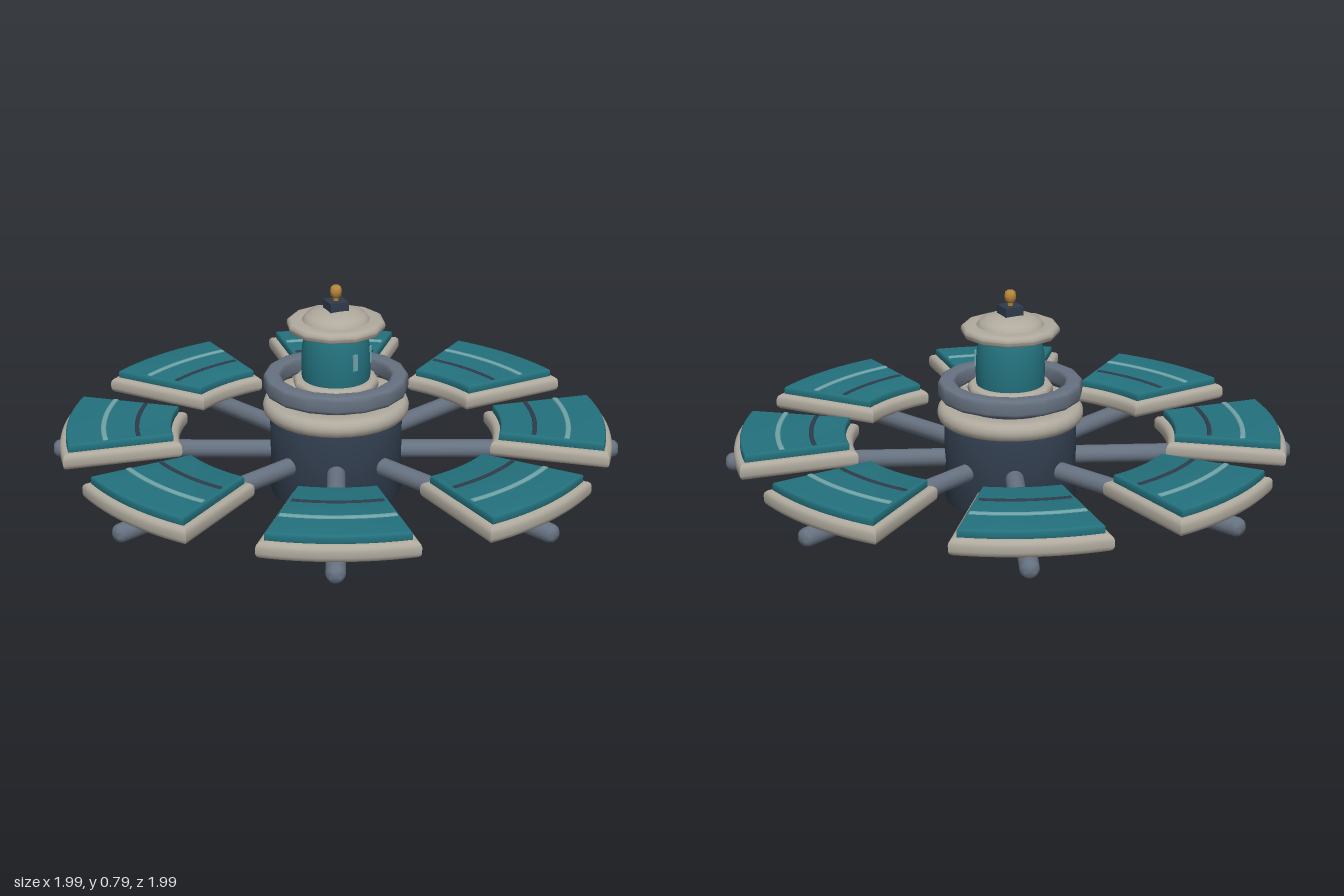
import * as THREE from 'three';
import { toCreasedNormals } from 'three/addons/utils/BufferGeometryUtils.js';

const paint = (color) => new THREE.MeshStandardMaterial({ color });
const TEAL = paint(0x23717d), STONE = paint(0xb0aa9e), SLATE = paint(0x667180);
const DARK = paint(0x2f3b4b), GOLD = paint(0xb8863b), GLASS = paint(0x6fa3a8);

function add(parent, name, geometry, material, x = 0, y = 0, z = 0) {
  const mesh = new THREE.Mesh(geometry, material);
  mesh.name = name;
  mesh.position.set(x, y, z);
  parent.add(mesh);
  return mesh;
}

// Solid of revolution from [radius, height] pairs, listed bottom to top
function turned(points, sides = 40, crease = 0.6) {
  const profile = points.map(([r, y]) => new THREE.Vector2(r, y));
  return toCreasedNormals(new THREE.LatheGeometry(profile, sides), crease);
}

// Ring with a rounded rectangular section
function ring(inner, outer, y0, y1, round, sides) {
  const points = [];
  const corners = [[outer - round, y0 + round, -90], [outer - round, y1 - round, 0],
    [inner + round, y1 - round, 90], [inner + round, y0 + round, 180]];
  for (const [cx, cy, start] of corners) {
    for (let i = 0; i <= 3; i++) {
      const a = THREE.MathUtils.degToRad(start + i * 30);
      points.push([cx + round * Math.cos(a), cy + round * Math.sin(a)]);
    }
  }
  points.push(points[0]);
  return turned(points, sides, 0.75);
}

// Flat slab shaped as an annular sector about the +x axis, bevelled inside its outline
function sector(r0, r1, half0, half1, y0, y1, bevel) {
  const shape = new THREE.Shape();
  const n = 12;
  for (let i = 0; i <= n; i++) {
    const a = half1 * (2 * i / n - 1);
    const x = r1 * Math.cos(a), y = r1 * Math.sin(a);
    if (i) shape.lineTo(x, y); else shape.moveTo(x, y);
  }
  for (let i = 0; i <= n; i++) {
    const a = half0 * (1 - 2 * i / n);
    shape.lineTo(r0 * Math.cos(a), r0 * Math.sin(a));
  }
  shape.closePath();
  const geometry = new THREE.ExtrudeGeometry(shape, {
    depth: y1 - y0 - 2 * bevel, bevelEnabled: true, bevelThickness: bevel,
    bevelSize: bevel, bevelOffset: -bevel, bevelSegments: 3,
  });
  geometry.rotateX(Math.PI / 2);
  geometry.translate(0, y1 - bevel, 0);
  return toCreasedNormals(geometry, 0.6);
}

export function createModel() {
  const model = new THREE.Group();
  model.name = 'radialStation';

  // Central hub, its rings and the neck
  add(model, 'hub', turned([[0, 0], [0.23, 0], [0.237, 0.004], [0.24, 0.012],
    [0.24, 0.285], [0.225, 0.31], [0, 0.31]]), DARK);
  add(model, 'lowerRing', ring(0.165, 0.265, 0.3, 0.365, 0.028, 32), STONE);
  add(model, 'neck', new THREE.CylinderGeometry(0.135, 0.135, 0.12, 32), DARK, 0, 0.36);
  add(model, 'upperRing', ring(0.2, 0.262, 0.39, 0.455, 0.014, 16), SLATE);
  add(model, 'collar', ring(0.1, 0.155, 0.4, 0.44, 0.016, 12), STONE);

  // Tower body with narrow windows
  add(model, 'tower', turned([[0, 0.41], [0.118, 0.41], [0.124, 0.45], [0.125, 0.5],
    [0.122, 0.56], [0.113, 0.6], [0.1, 0.635], [0, 0.635]]), TEAL);
  for (const degrees of [10, 62]) {
    const a = THREE.MathUtils.degToRad(degrees);
    const pane = add(model, 'towerWindow', new THREE.BoxGeometry(0.018, 0.06, 0.012), GLASS,
      0.122 * Math.sin(a), 0.53, 0.122 * Math.cos(a));
    pane.rotation.y = a;
  }

  // Brim, dome and beacon
  add(model, 'brim', ring(0.09, 0.178, 0.622, 0.66, 0.017, 12), STONE);
  add(model, 'dome', turned([[0, 0.635], [0.122, 0.635], [0.121, 0.66], [0.108, 0.678],
    [0.08, 0.69], [0.045, 0.697], [0, 0.7]]), STONE);
  add(model, 'beaconBase', new THREE.BoxGeometry(0.07, 0.035, 0.07), DARK, 0, 0.712);
  add(model, 'beacon', turned([[0, 0.725], [0.01, 0.725], [0.01, 0.741], [0.019, 0.748],
    [0.021, 0.765], [0.018, 0.78], [0.01, 0.786], [0, 0.786]], 12, 0.9), GOLD);

  // Eight arms, each carrying a panel
  const armGeometry = turned([[0, 0], [0.033, 0], [0.033, 0.85], [0.029, 0.863],
    [0.019, 0.872], [0, 0.875]], 16, 0.8);
  armGeometry.rotateZ(-Math.PI / 2);
  const frameGeometry = sector(0.572, 1.0, 0.268, 0.27, 0.185, 0.245, 0.02);
  const panelGeometry = sector(0.598, 0.977, 0.228, 0.246, 0.238, 0.273, 0.008);
  const grooveGeometry = sector(0.714, 0.73, 0.215, 0.215, 0.262, 0.277, 0.003);
  const stripGeometry = sector(0.832, 0.851, 0.23, 0.23, 0.262, 0.279, 0.004);
  for (let i = 0; i < 8; i++) {
    const spoke = new THREE.Group();
    spoke.name = 'spoke';
    spoke.rotation.y = -THREE.MathUtils.degToRad(22.8 + i * 45);
    const arm = add(spoke, 'arm', armGeometry, SLATE, 0.16, 0.157);
    arm.rotation.y = -0.012;
    add(spoke, 'panelFrame', frameGeometry, STONE);
    add(spoke, 'panel', panelGeometry, TEAL);
    add(spoke, 'darkStrip', grooveGeometry, DARK);
    add(spoke, 'lightStrip', stripGeometry, GLASS);
    model.add(spoke);
  }
  return model;
}
